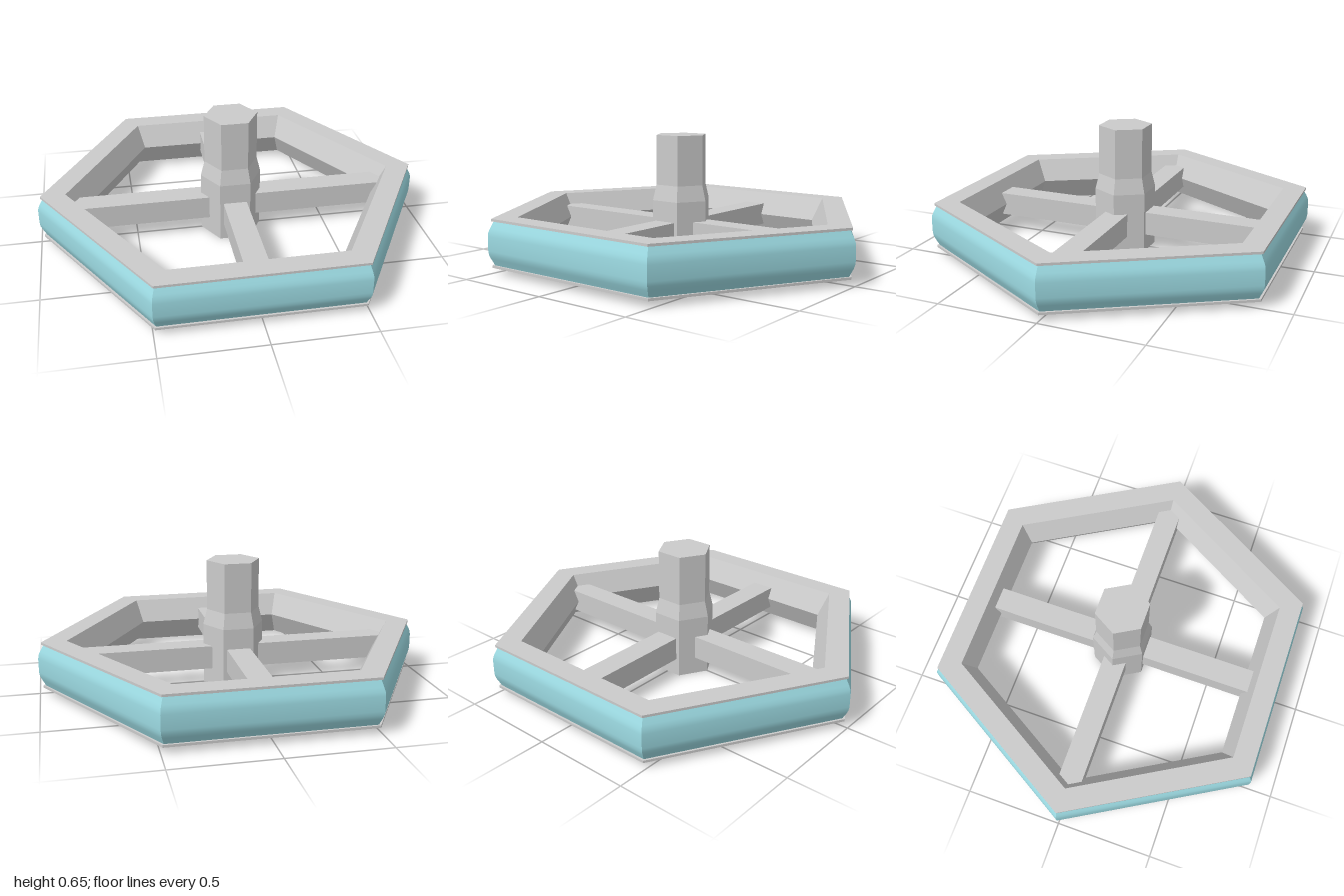
import * as THREE from 'three';
import { toCreasedNormals } from 'three/addons/utils/BufferGeometryUtils.js';

const grey = new THREE.MeshStandardMaterial({ color: 0xcccccc, flatShading: true });
const blueBand = new THREE.MeshStandardMaterial({ color: 0x9cdae2 });

// Six-sided lathe with corners on the x axis
function hexLathe(profile) {
  const points = profile.map(([r, y]) => new THREE.Vector2(r, y));
  return new THREE.LatheGeometry(points, 6, Math.PI / 6);
}

function addPart(parent, name, geometry, material) {
  const mesh = new THREE.Mesh(geometry, material);
  mesh.name = name;
  parent.add(mesh);
  return mesh;
}

export function createModel() {
  const model = new THREE.Group();
  model.name = 'hexagonalHandwheel';

  // Rim with thin lips above and below, and a ridged inner wall
  addPart(model, 'rim', hexLathe([
    [0.855, 0.03], [0.982, 0.03], [0.982, 0.042], [0.965, 0.042],
    [0.965, 0.258], [0.982, 0.258], [0.982, 0.27], [0.855, 0.27],
    [0.79, 0.15], [0.855, 0.03],
  ]), grey);

  // Rounded grip band around the rim
  const band = hexLathe([
    [0.97, 0.042], [0.975, 0.052], [0.988, 0.075], [0.997, 0.095], [1, 0.115],
    [1, 0.185], [0.997, 0.205], [0.988, 0.225], [0.975, 0.248], [0.97, 0.258],
  ]);
  addPart(model, 'gripBand', toCreasedNormals(band, 0.7), blueBand);

  // Two crossed bars make the four spokes; their ends sit inside the rim
  addPart(model, 'sideSpokes', new THREE.BoxGeometry(1.74, 0.12, 0.12), grey).position.y = 0.15;
  addPart(model, 'frontBackSpokes', new THREE.BoxGeometry(0.12, 0.12, 1.52), grey).position.y = 0.15;

  // Hub and stem, hollowed slightly underneath
  addPart(model, 'hub', hexLathe([
    [0.136, 0.03], [0.136, 0], [0.157, 0], [0.157, 0.315],
    [0.137, 0.395], [0.137, 0.65], [0, 0.65],
  ]), grey);

  // Coloured plate in the hub recess, facing down
  const plate = addPart(model, 'hubPlate', new THREE.CircleGeometry(0.137, 6), blueBand);
  plate.rotation.x = Math.PI / 2;
  plate.position.y = 0.03;

  return model;
}
